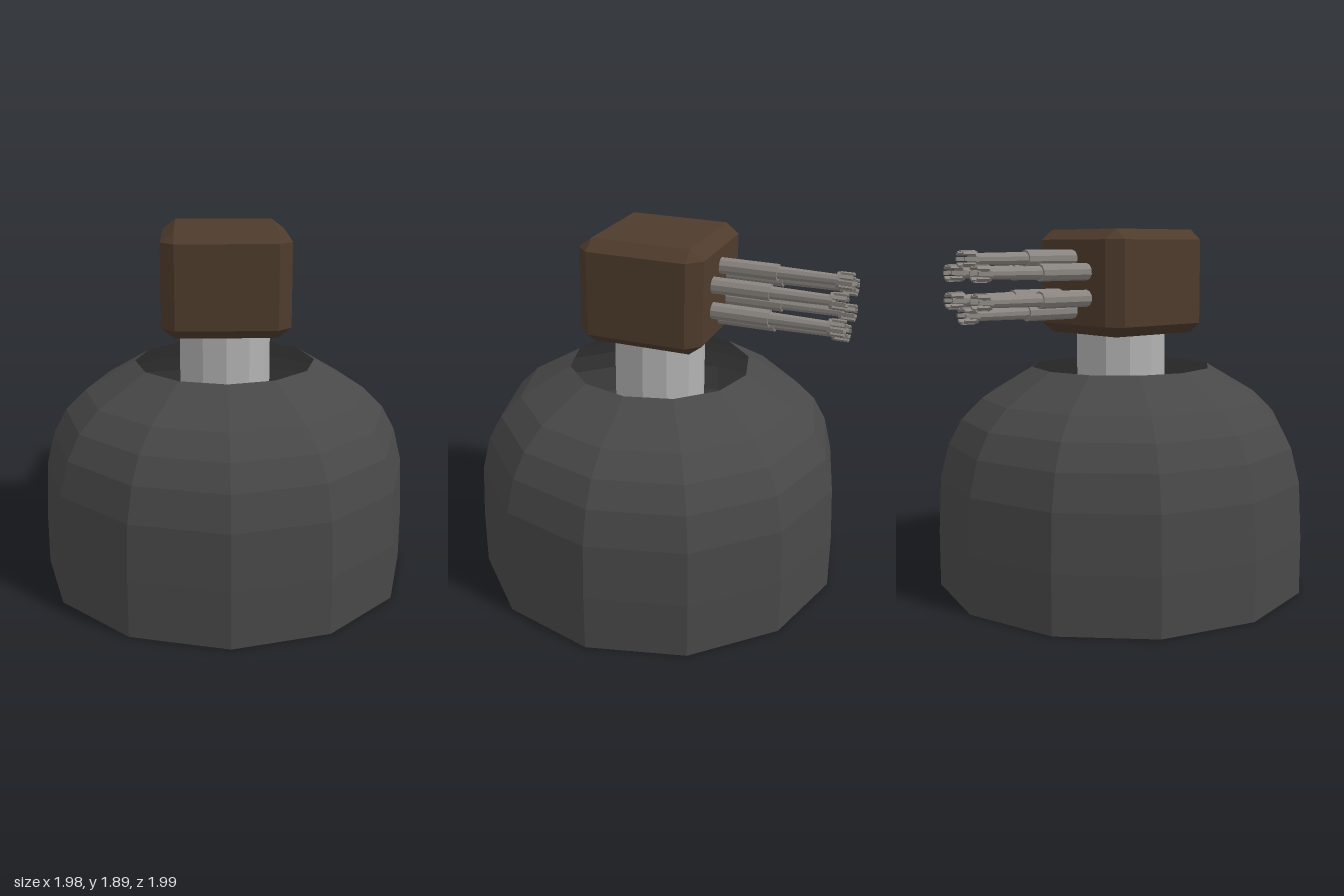
import * as THREE from 'three';
import { ConvexGeometry } from 'three/addons/geometries/ConvexGeometry.js';

const makeMaterial = (name, color, side = THREE.FrontSide) => {
  const m = new THREE.MeshStandardMaterial({ color, flatShading: true, side });
  m.name = name;
  return m;
};

export function createModel() {
  const model = new THREE.Group();
  model.name = 'turret';

  const charcoal = makeMaterial('charcoal', 0x484848, THREE.DoubleSide);
  const silver = makeMaterial('silver', 0xb2b2b2);
  const brown = makeMaterial('brown', 0x4e3b2c);
  const gunmetal = makeMaterial('gunmetal', 0x8a8580);

  const add = (parent, name, geometry, material, x = 0, y = 0, z = 0) => {
    const mesh = new THREE.Mesh(geometry, material);
    mesh.name = name;
    mesh.position.set(x, y, z);
    parent.add(mesh);
    return mesh;
  };

  // Hollow twelve-sided dome, open at the top and closed underneath
  const profile = [
    [0.99, 0], [0.99, 0.3], [0.975, 0.59], [0.93, 0.77],
    [0.86, 0.9], [0.75, 1.01], [0.48, 1.17],
  ].map(([r, y]) => new THREE.Vector2(r, y));
  add(model, 'domeShell', new THREE.LatheGeometry(profile, 12), charcoal);
  add(model, 'domeFloor', new THREE.CircleGeometry(0.99, 12).rotateX(Math.PI / 2), charcoal);

  // Neck rising out of the dome
  add(model, 'neck', new THREE.CylinderGeometry(0.24, 0.24, 1.36, 12), silver, 0, 0.69, 0);

  // Bevelled head: each corner is cut by a small triangle
  const corners = [];
  const outer = [0.33, 0.27, 0.33];
  const inner = [0.26, 0.217, 0.26];
  for (const sx of [-1, 1]) for (const sy of [-1, 1]) for (const sz of [-1, 1]) {
    for (let axis = 0; axis < 3; axis++) {
      const p = inner.map((v, i) => (i === axis ? outer[i] : v));
      corners.push(new THREE.Vector3(p[0] * sx, p[1] * sy, p[2] * sz));
    }
  }
  add(model, 'head', new ConvexGeometry(corners), brown, 0, 1.62, 0);

  // Barrel pieces, all pointing towards -z
  const tube = (rBack, rFront, length) =>
    new THREE.CylinderGeometry(rFront, rBack, length, 10).rotateX(-Math.PI / 2);
  const sleeve = tube(0.043, 0.043, 0.34);
  const barrel = tube(0.033, 0.028, 0.32);
  const collar = tube(0.042, 0.042, 0.016);
  const prong = new THREE.BoxGeometry(0.019, 0.01, 0.066);

  const makeGun = () => {
    const gun = new THREE.Group();
    gun.name = 'gun';
    add(gun, 'sleeve', sleeve, gunmetal, 0, 0, -0.455);
    add(gun, 'barrel', barrel, gunmetal, 0, 0, -0.77);
    add(gun, 'muzzleCollar', collar, gunmetal, 0, 0, -0.926);
    // Slotted muzzle
    for (let i = 0; i < 8; i++) {
      const a = (i / 8) * Math.PI * 2;
      const p = add(gun, 'muzzleProng', prong, gunmetal,
        Math.cos(a) * 0.037, Math.sin(a) * 0.037, -0.965);
      p.rotation.z = a - Math.PI / 2;
    }
    return gun;
  };

  // Six guns in a hexagonal ring
  for (let i = 0; i < 6; i++) {
    const a = Math.PI / 2 + (i / 6) * Math.PI * 2;
    const gun = makeGun();
    gun.position.set(Math.cos(a) * 0.133, 1.61 + Math.sin(a) * 0.133, 0);
    model.add(gun);
  }
  return model;
}
